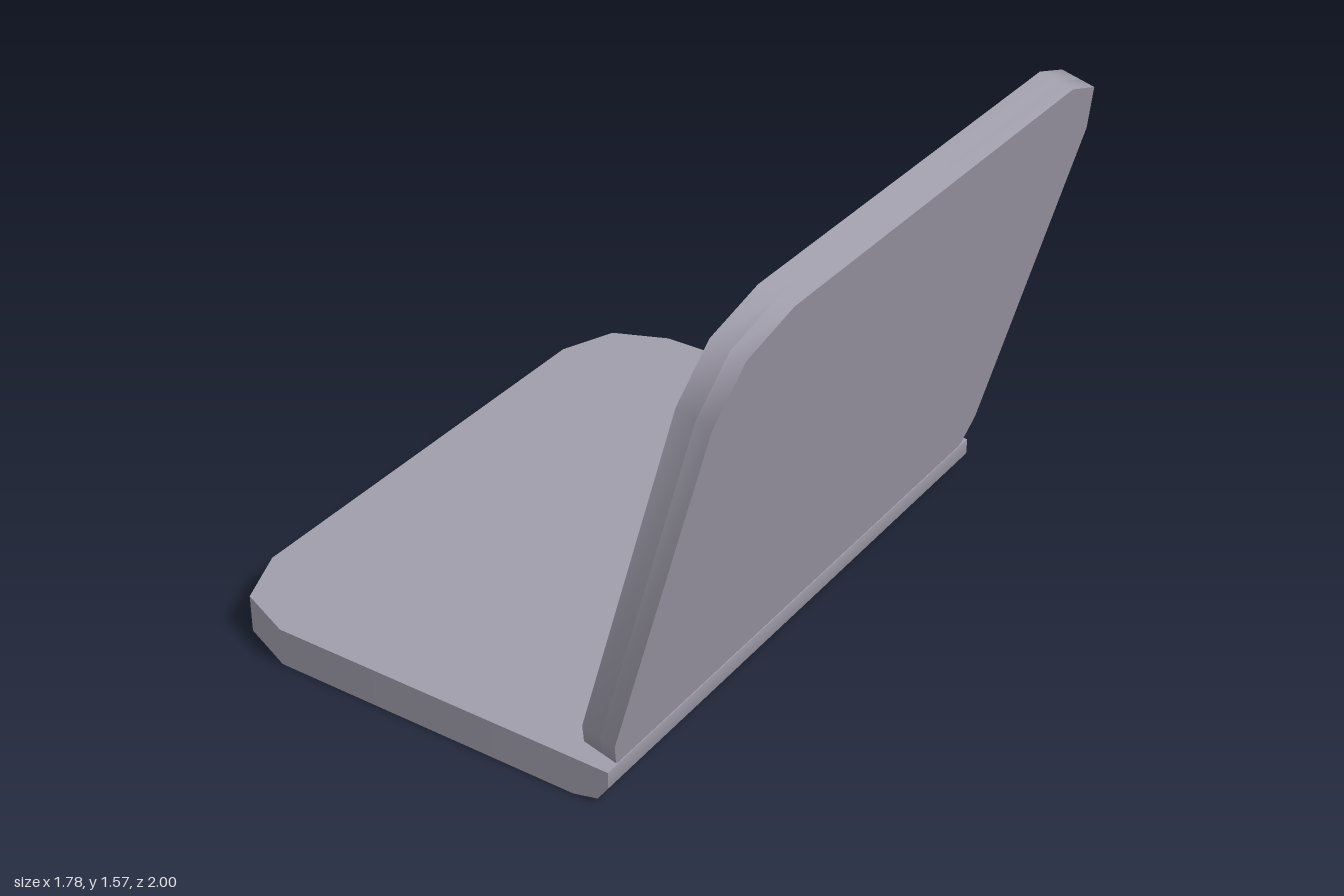
import * as THREE from 'three';
import { toCreasedNormals } from 'three/addons/utils/BufferGeometryUtils.js';

const CREASE = 0.9;

// Closed outline mirrored left to right from its right half, listed bottom to top
function mirrored(half, Type) {
  const points = half.map(([x, y]) => new THREE.Vector2(x, y));
  const left = half.map(([x, y]) => new THREE.Vector2(-x, y)).reverse();
  return new Type([...points, ...left]);
}

// Box-like solid lofted along x from stations [x, halfWidth, bottom]
function loft(stations, top) {
  const rings = stations.map(([x, w, b]) => [[x, top, w], [x, top, -w], [x, b, -w], [x, b, w]]);
  const pos = [];
  const quad = (a, b, c, d) => pos.push(...a, ...b, ...c, ...a, ...c, ...d);
  for (let i = 0; i < rings.length - 1; i++) {
    for (let k = 0; k < 4; k++) {
      const n = (k + 1) % 4;
      quad(rings[i][k], rings[i + 1][k], rings[i + 1][n], rings[i][n]);
    }
  }
  const last = rings[rings.length - 1];
  quad(...rings[0]);
  quad(last[3], last[2], last[1], last[0]);
  const geometry = new THREE.BufferGeometry();
  geometry.setAttribute('position', new THREE.Float32BufferAttribute(pos, 3));
  return toCreasedNormals(geometry, CREASE);
}

export function createModel() {
  const model = new THREE.Group();
  model.name = 'laptop';
  const caseMat = new THREE.MeshStandardMaterial({ color: 0xa09dab });
  caseMat.name = 'case grey';
  const screenMat = new THREE.MeshStandardMaterial({ color: 0xc3c3c1 });
  screenMat.name = 'screen grey';

  const add = (parent, name, geometry, material, z = 0) => {
    const mesh = new THREE.Mesh(geometry, material);
    mesh.name = name;
    mesh.position.z = z;
    parent.add(mesh);
  };
  const slab = (shape, depth) => toCreasedNormals(
    new THREE.ExtrudeGeometry(shape, { depth, bevelEnabled: false }), CREASE);

  // Base with clipped front corners and a rounded lower rear edge
  add(model, 'base', loft([
    [-0.895, 0.74, 0], [-0.82, 0.925, 0], [-0.64, 1, 0],
    [0.39, 1, 0], [0.47, 1, 0.02], [0.505, 1, 0.07],
  ], 0.123), caseMat);

  // Lid leans back; its local z = 0 plane is the bezel face
  const lid = new THREE.Group();
  lid.name = 'lid';
  lid.position.set(0.39, 0.123, 0);
  lid.rotation.set(-0.263, -Math.PI / 2, 0, 'YXZ');
  model.add(lid);

  const outline = [[0.9, 0], [0.96, 0.035], [1, 0.128], [1, 1.254], [0.925, 1.43], [0.74, 1.5]];
  const opening = [[0.808, 0.19], [0.808, 1.25], [0.79, 1.295], [0.755, 1.312]];
  const thickness = 0.108;
  const recess = 0.06;

  // Bezel frame around the recess, with the back shell behind it
  const frame = mirrored(outline, THREE.Shape);
  frame.holes.push(mirrored(opening, THREE.Path));
  add(lid, 'bezel', slab(frame, recess), caseMat, -recess);
  add(lid, 'lidBack', slab(mirrored(outline, THREE.Shape), thickness - recess), caseMat, -thickness);

  // Screen plate on the floor of the recess
  add(lid, 'screen', slab(mirrored(opening, THREE.Shape), 0.004), screenMat, -recess);

  return model;
}
